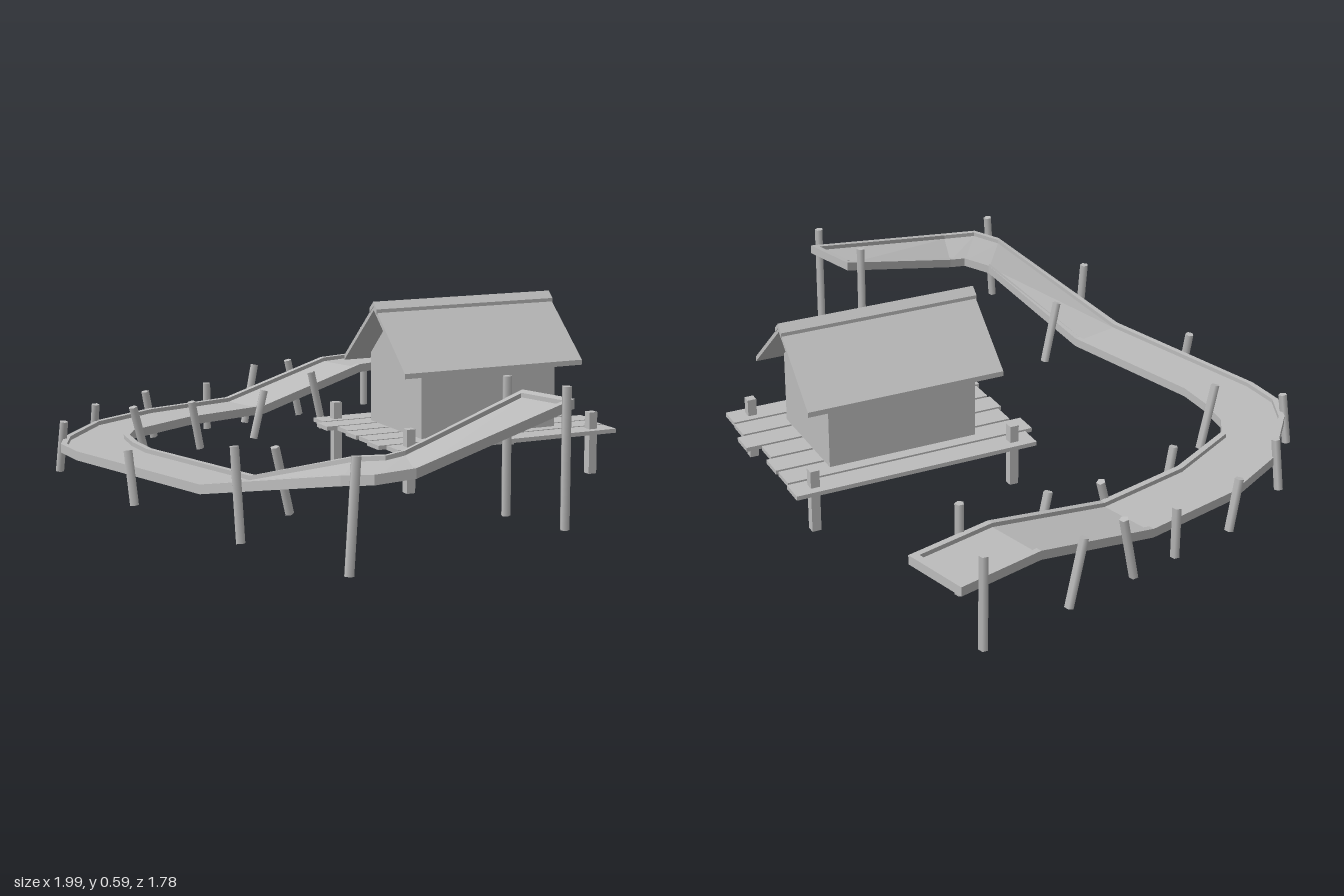
import * as THREE from 'three';

const wood = new THREE.MeshStandardMaterial({ color: 0xbcbcbc });
wood.name = 'weathered wood grey';

// Walkway stations: outer x, z, inner x, z, height of the rail tops
const stations = [
  [-0.96, -0.90, -0.73, -0.90, 0.235],
  [-0.96, -0.60, -0.73, -0.60, 0.235],
  [-0.96, -0.14, -0.73, -0.14, 0.132],
  [-0.96, 0.21, -0.73, 0.20, 0.132],
  [-0.89, 0.48, -0.66, 0.48, 0.132],
  [-0.72, 0.72, -0.60, 0.54, 0.132],
  [-0.62, 0.80, -0.48, 0.59, 0.132],
  [-0.48, 0.83, -0.36, 0.62, 0.132],
  [0.18, 0.83, 0.18, 0.62, 0.132],
  [0.83, 0.83, 0.65, 0.62, 0.265],
  [0.925, 0.79, 0.74, 0.58, 0.277],
  [0.965, 0.67, 0.75, 0.52, 0.285],
  [0.965, 0.04, 0.75, 0.04, 0.405],
];
const RAIL = 0.02, RAIL_HEIGHT = 0.03;

// Rectangular section between insets a and b (from outer edge, negative = from inner edge)
function section([ox, oz, ix, iz, y], a, b, top, bottom) {
  const width = Math.hypot(ix - ox, iz - oz);
  const point = (d, h) => {
    const t = d < 0 ? 1 + d / width : d / width;
    return [ox + (ix - ox) * t, y - h, oz + (iz - oz) * t];
  };
  return [point(a, top), point(b, top), point(b, bottom), point(a, bottom)];
}

// Closed solid through a row of four-cornered sections
function sweep(sections) {
  const pos = [];
  const quad = (a, b, c, d) => pos.push(...a, ...b, ...c, ...a, ...c, ...d);
  for (let i = 0; i < sections.length - 1; i++) {
    const s = sections[i], n = sections[i + 1];
    for (let j = 0; j < 4; j++) {
      const k = (j + 1) % 4;
      quad(s[j], n[j], n[k], s[k]);
    }
  }
  quad(...sections[0]);
  quad(...[...sections[sections.length - 1]].reverse());
  const geo = new THREE.BufferGeometry();
  geo.setAttribute('position', new THREE.Float32BufferAttribute(pos, 3));
  geo.computeVertexNormals();
  return geo;
}

function add(parent, name, geo, x = 0, y = 0, z = 0) {
  const mesh = new THREE.Mesh(geo, wood);
  mesh.name = name;
  mesh.position.set(x, y, z);
  parent.add(mesh);
  return mesh;
}

// Round post leaning from its foot to its top
function post(parent, x0, y0, z0, x1, y1, z1) {
  const a = new THREE.Vector3(x0, y0, z0), b = new THREE.Vector3(x1, y1, z1);
  const dir = b.clone().sub(a);
  const mesh = add(parent, 'walkwayPost', new THREE.CylinderGeometry(0.015, 0.015, dir.length(), 5));
  mesh.position.copy(a).add(b).multiplyScalar(0.5);
  mesh.quaternion.setFromUnitVectors(new THREE.Vector3(0, 1, 0), dir.normalize());
}

function createWalkway() {
  const g = new THREE.Group();
  g.name = 'walkway';
  const solid = (name, rows, a, b, top, bottom) =>
    add(g, name, sweep(rows.map((s) => section(s, a, b, top, bottom))));
  solid('outerRail', stations, 0, RAIL, 0, RAIL_HEIGHT);
  // An inset of -1e-9 lands exactly on the inner edge
  solid('innerRail', stations, -RAIL, -1e-9, 0, RAIL_HEIGHT);
  solid('walkwayFloor', stations, RAIL, -RAIL, 0.014, 0.024);

  // Crosspieces closing both ends
  const first = stations[0], last = stations[stations.length - 1];
  const shift = ([ox, oz, ix, iz, y], dz, dy) => [ox, oz + dz, ix, iz + dz, y + dy];
  solid('endRail', [first, shift(first, 0.025, 0)], RAIL, -RAIL, 0, RAIL_HEIGHT);
  solid('endRail', [shift(last, 0.025, -0.005), last], RAIL, -RAIL, 0, RAIL_HEIGHT);

  // Foot x, y, z, then top x, y, z
  [
    [-0.985, 0.02, -0.84, -0.985, 0.325, -0.84],
    [-0.72, 0.02, -0.70, -0.72, 0.325, -0.70],
    [-0.985, 0.02, -0.51, -0.985, 0.235, -0.455],
    [-0.72, 0.02, -0.405, -0.72, 0.235, -0.35],
    [-0.985, 0.02, -0.245, -0.985, 0.235, -0.295],
    [-0.72, 0.02, -0.08, -0.72, 0.19, -0.13],
    [-0.985, 0.02, -0.07, -0.985, 0.19, -0.07],
    [-0.985, 0.02, 0.17, -0.985, 0.19, 0.205],
    [-0.705, 0.02, 0.17, -0.705, 0.19, 0.205],
    [-0.91, 0.02, 0.485, -0.885, 0.19, 0.485],
    [-0.55, 0.02, 0.50, -0.55, 0.235, 0.56],
    [-0.71, 0.02, 0.75, -0.685, 0.19, 0.745],
    [-0.12, 0.02, 0.86, -0.15, 0.19, 0.86],
    [0.285, 0.02, 0.57, 0.285, 0.235, 0.625],
    [0.415, 0.0, 0.86, 0.39, 0.285, 0.86],
    [0.905, 0.0, 0.865, 0.895, 0.33, 0.83],
    [0.735, 0.02, 0.09, 0.735, 0.45, 0.09],
    [0.98, 0.02, 0.09, 0.98, 0.45, 0.09],
  ].forEach((p) => post(g, ...p));
  return g;
}

function createHut() {
  const g = new THREE.Group();
  g.name = 'hut';

  // Deck boards with uneven ends: back z, front z
  [[-0.417, 0.41], [-0.41, 0.44], [-0.414, 0.405], [-0.395, 0.42],
    [-0.443, 0.415], [-0.42, 0.43], [-0.417, 0.405]].forEach(([back, front], i) => {
    add(g, 'deckBoard', new THREE.BoxGeometry(0.082, 0.014, front - back),
      (i - 3) * 0.092, 0.146, (back + front) / 2);
  });

  // Corner posts
  for (const x of [-0.274, 0.274])
    for (const z of [-0.344, 0.344])
      add(g, 'deckPost', new THREE.BoxGeometry(0.03, 0.21, 0.03), x, 0.105, z);

  // Gabled body
  const gable = new THREE.Shape([[-0.185, 0.15], [0.185, 0.15], [0.185, 0.39], [0, 0.56], [-0.185, 0.39]]
    .map(([x, y]) => new THREE.Vector2(x, y)));
  add(g, 'hutWalls', new THREE.ExtrudeGeometry(gable, { depth: 0.506, bevelEnabled: false }), 0, 0, -0.253);

  // Roof slabs and ridge cap, each one bent strip
  const chevron = (half, peak, drop, thick, length) => {
    const shape = new THREE.Shape([[-half, peak - drop], [-half, peak - drop - thick], [0, peak - thick],
      [half, peak - drop - thick], [half, peak - drop], [0, peak]].map(([x, y]) => new THREE.Vector2(x, y)));
    return new THREE.ExtrudeGeometry(shape, { depth: length, bevelEnabled: false });
  };
  add(g, 'roof', chevron(0.225, 0.577, 0.197, 0.017, 0.67), 0, 0, -0.335);
  add(g, 'ridgeCap', chevron(0.026, 0.589, 0.023, 0.016, 0.674), 0, 0, -0.337);

  g.position.set(0.0675, 0, -0.365);
  g.rotation.y = -THREE.MathUtils.degToRad(15);
  return g;
}

export function createModel() {
  const model = new THREE.Group();
  model.name = 'hutAndWalkway';
  model.add(createWalkway(), createHut());
  return model;
}
